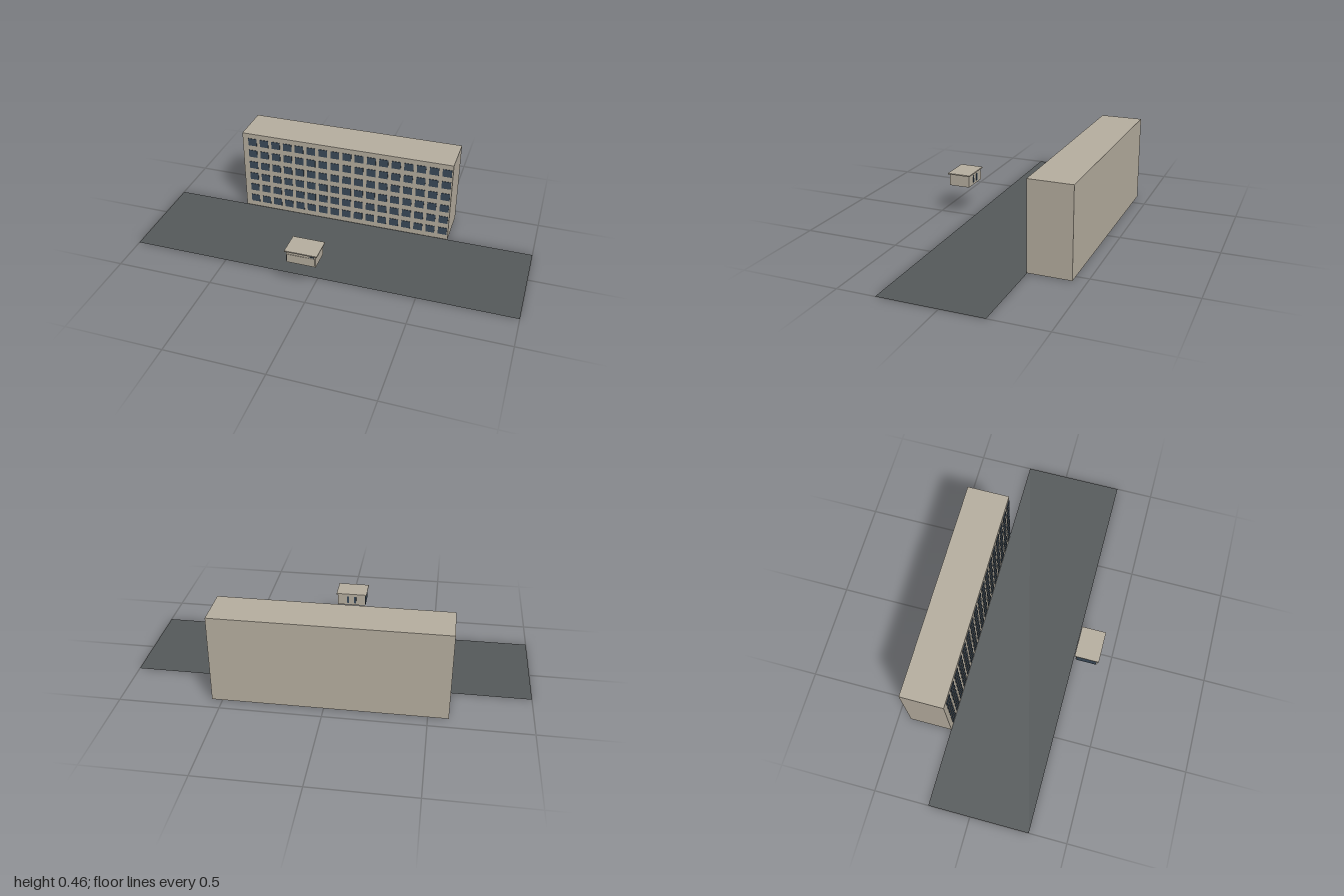
import * as THREE from 'three';

export function createModel() {
  const model = new THREE.Group();
  model.name = 'officeBlockAndKiosk';

  const material = (name, color, side = THREE.FrontSide) => {
    const m = new THREE.MeshStandardMaterial({ color, side });
    m.name = name;
    return m;
  };
  const concrete = material('concrete', 0xb6ae9f);
  const glass = material('darkGlass', 0x3a4a59);
  const asphalt = material('asphalt', 0x55595a, THREE.DoubleSide);

  // Box given by its minimum and maximum corners
  const box = (parent, name, mat, [x0, y0, z0], [x1, y1, z1]) => {
    const mesh = new THREE.Mesh(new THREE.BoxGeometry(x1 - x0, y1 - y0, z1 - z0), mat);
    mesh.position.set((x0 + x1) / 2, (y0 + y1) / 2, (z0 + z1) / 2);
    mesh.name = name;
    parent.add(mesh);
    return mesh;
  };

  // Flat forecourt
  const ground = new THREE.Mesh(new THREE.PlaneGeometry(2, 0.522), asphalt);
  ground.name = 'forecourt';
  ground.rotation.x = -Math.PI / 2;
  ground.position.z = 0.044;
  model.add(ground);

  // Long block behind the forecourt
  const building = new THREE.Group();
  building.name = 'officeBlock';
  model.add(building);
  box(building, 'walls', concrete, [-0.6, 0.002, -0.435], [0.552, 0.457, -0.215]);

  // Window grid on the front wall
  const windows = new THREE.Group();
  windows.name = 'windows';
  building.add(windows);
  for (let row = 0; row < 6; row++) {
    for (let col = 0; col < 17; col++) {
      const x = -0.544 + col * 0.0666;
      const y = 0.053 + row * 0.0711;
      box(windows, 'window', glass,
        [x - 0.024, y - 0.021, -0.2155], [x + 0.024, y + 0.021, -0.2125]);
    }
  }

  // Raised kiosk with an overhanging roof
  const kiosk = new THREE.Group();
  kiosk.name = 'kiosk';
  model.add(kiosk);
  box(kiosk, 'kioskWalls', concrete, [-0.114, 0.168, 0.317], [0.034, 0.23, 0.428]);
  box(kiosk, 'kioskRoof', concrete, [-0.122, 0.23, 0.31], [0.042, 0.236, 0.435]);
  box(kiosk, 'sideGlazing', glass, [-0.117, 0.17, 0.321], [-0.1135, 0.226, 0.424]);
  box(kiosk, 'frontPanel', concrete, [-0.112, 0.169, 0.4275], [0.03, 0.215, 0.43]);
  box(kiosk, 'frontVent', glass, [0.005, 0.22, 0.4275], [0.027, 0.224, 0.43]);

  // Narrow openings in the rear wall
  for (const x of [-0.06, -0.02]) {
    box(kiosk, 'rearOpening', glass, [x - 0.006, 0.18, 0.3145], [x + 0.006, 0.218, 0.3175]);
  }

  return model;
}
